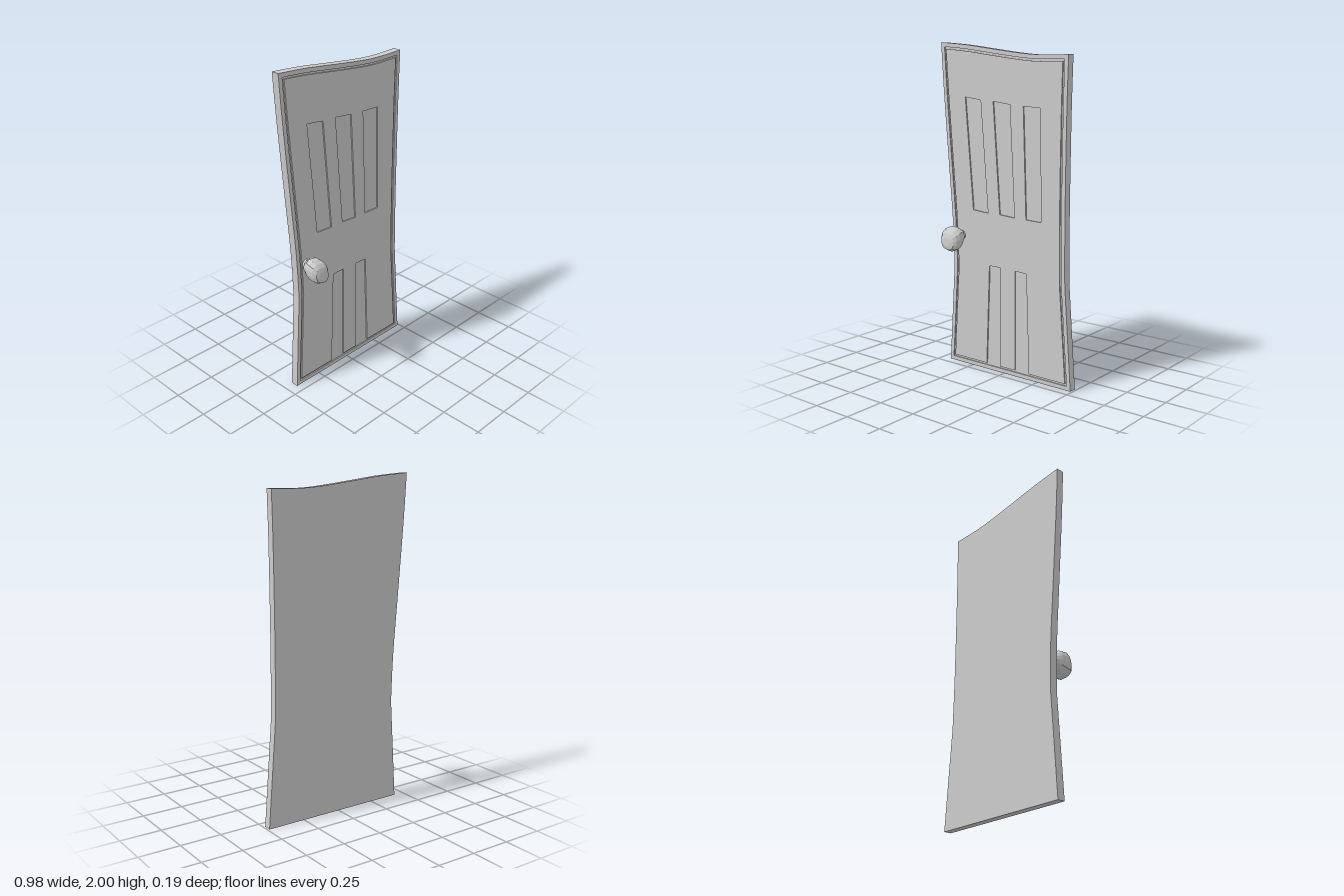
import * as THREE from 'three';

const material = new THREE.MeshStandardMaterial({ color: 0xcccccc });
const v = (x, y) => new THREE.Vector2(x, y);
const points = (list) => list.map(([x, y]) => v(x, y));
const smooth = (list, n) => new THREE.SplineCurve(points(list)).getPoints(n);

// Warped door outline, counter-clockwise from the bottom left corner
function doorOutline() {
  const right = smooth([[0.44, 0.62], [0.435, 1.0], [0.438, 1.6], [0.445, 1.927]], 10);
  const top = smooth([[0.445, 1.927], [0.25, 1.925], [0.1, 1.936], [-0.1, 1.96], [-0.3, 1.985], [-0.49, 2]], 14);
  const left = smooth([[-0.49, 2], [-0.471, 1.7], [-0.435, 1.25], [-0.407, 0.9], [-0.397, 0.62]], 12);
  return [v(-0.436, 0), v(0.488, 0), ...right, ...top.slice(1), ...left.slice(1)];
}

// Moves every edge inwards by d, with mitred corners
function inset(outline, d) {
  const n = outline.length;
  return outline.map((p, i) => {
    const a = p.clone().sub(outline[(i + n - 1) % n]).normalize();
    const b = outline[(i + 1) % n].clone().sub(p).normalize();
    const na = v(-a.y, a.x), nb = v(-b.y, b.x);
    const miter = na.clone().add(nb);
    return p.clone().addScaledVector(miter, d / (1 + na.dot(nb)));
  });
}

function slab(name, outline, holes, z0, z1) {
  const shape = new THREE.Shape(outline);
  shape.holes = holes.map((h) => new THREE.Path(h));
  const geometry = new THREE.ExtrudeGeometry(shape, { depth: z1 - z0, bevelEnabled: false });
  geometry.translate(0, 0, z0);
  const mesh = new THREE.Mesh(geometry, material);
  mesh.name = name;
  return mesh;
}

// Squarish, slanted knob on a short neck
function createKnob() {
  const profile = points([
    [0.03, -0.056], [0.03, -0.034], [0.046, -0.024], [0.06, 0.005], [0.066, 0.04],
    [0.061, 0.07], [0.047, 0.088], [0.025, 0.095], [0, 0.095],
  ]);
  const geometry = new THREE.LatheGeometry(profile, 14);
  geometry.rotateX(Math.PI / 2);
  const pos = geometry.attributes.position;
  for (let i = 0; i < pos.count; i++) {
    const x = pos.getX(i), y = pos.getY(i), z = pos.getZ(i);
    const t = THREE.MathUtils.smoothstep(z, -0.034, 0.02);
    const a = Math.atan2(y, x);
    const square = 1 + 0.11 * t * (1 - Math.cos(4 * a)) / 2;
    pos.setXYZ(i, -0.335 + x * square,
      0.825 - 0.2 * t * x + y * square - 0.25 * t * Math.max(z, 0),
      z - (z > 0 ? 0.12 * (y + 0.03) * t * (z / 0.095) : 0));
  }
  const flat = geometry.toNonIndexed();
  flat.computeVertexNormals();
  const knobMaterial = material.clone();
  knobMaterial.flatShading = true;
  const knob = new THREE.Mesh(flat, knobMaterial);
  knob.name = 'knob';
  return knob;
}

export function createModel() {
  const group = new THREE.Group();
  group.name = 'door';
  const back = -0.1, floor = -0.06, front = -0.052;
  const outline = doorOutline();

  // Solid backing; its front is the floor of the grooves and panels
  group.add(slab('backing', outline, [], back, floor));
  // Narrow border outside the groove
  group.add(slab('border', outline, [inset(outline, 0.025)], floor, front));

  // Recessed upper panels
  const upper = [
    [[-0.3, 1.675], [-0.18, 1.66], [-0.125, 0.985], [-0.24, 0.992]],
    [[-0.085, 1.655], [0.04, 1.64], [0.076, 0.976], [-0.035, 0.985]],
    [[0.137, 1.633], [0.257, 1.628], [0.27, 0.972], [0.16, 0.975]],
  ].map(points);

  // Lower panels run into the bottom groove, so they notch the field's edge
  const field = inset(outline, 0.037);
  const y = field[0].y;
  const notches = points([
    [-0.137, y], [-0.115, 0.66], [-0.028, 0.66], [-0.033, y],
    [0.083, y], [0.08, 0.656], [0.165, 0.652], [0.188, y],
  ]);
  group.add(slab('field', [field[0], ...notches, ...field.slice(1)], upper, floor, front));

  group.add(createKnob());
  return group;
}
